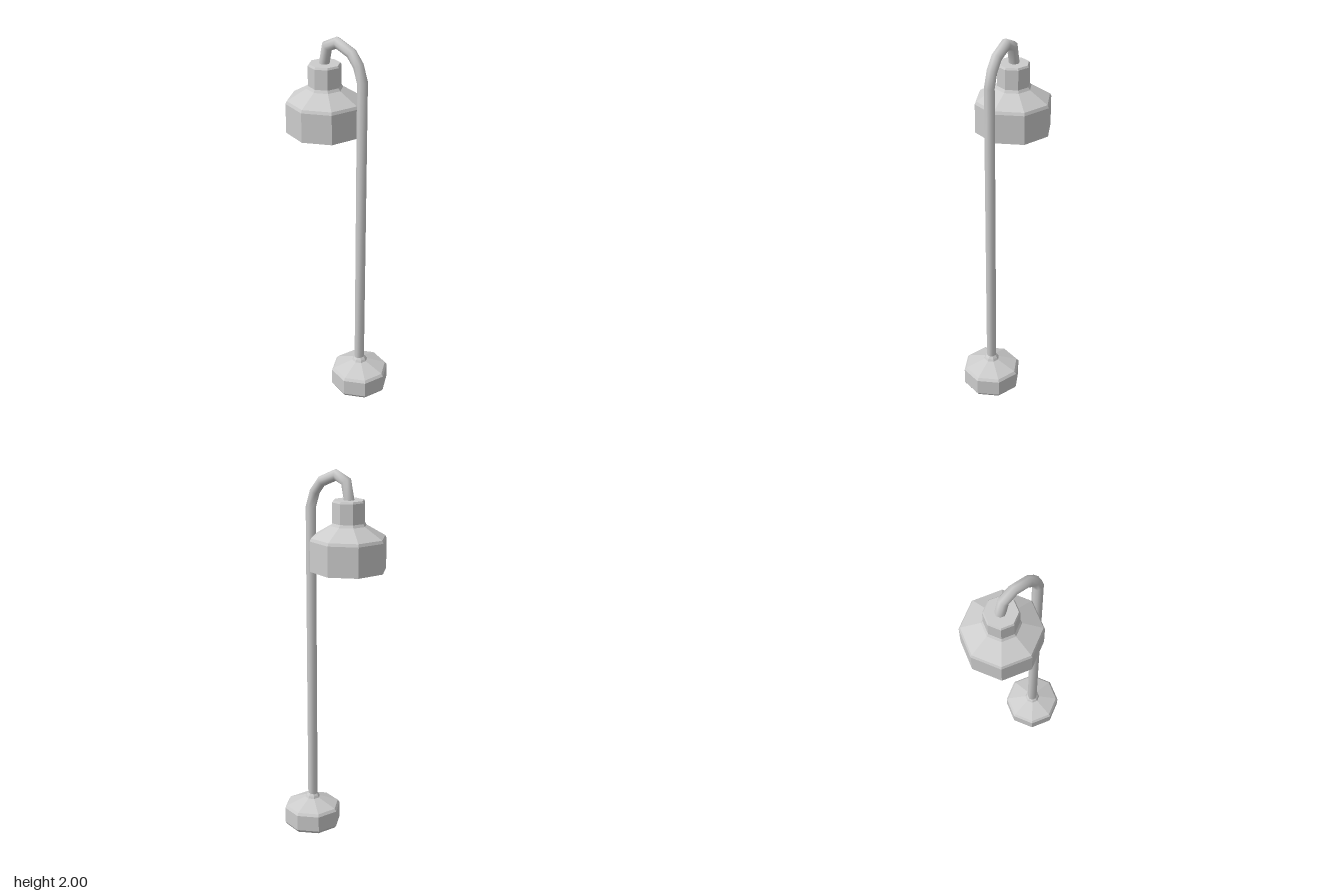
import * as THREE from 'three';
import { mergeVertices } from 'three/addons/utils/BufferGeometryUtils.js';

const SIDES = 8;

// Faceted octagonal body turned from [radius, y] pairs, bottom to top
function turned(name, profile, x, z, side = THREE.FrontSide) {
  const geometry = new THREE.LatheGeometry(profile.map(([r, y]) => new THREE.Vector2(r, y)), SIDES);
  const material = new THREE.MeshStandardMaterial({ color: 0xcccccc, flatShading: true, side });
  const mesh = new THREE.Mesh(geometry, material);
  mesh.name = name;
  mesh.position.set(x, 0, z);
  return mesh;
}

// Smooth pipe along a bent path: a cylinder whose rings are moved to mitred joints
function bentPipe(name, path, radius) {
  const last = path.length - 1;
  const pts = path.map((p) => new THREE.Vector3(...p));
  let geometry = new THREE.CylinderGeometry(radius, radius, last, SIDES, last, true);
  geometry.deleteAttribute('uv');
  geometry.deleteAttribute('normal');
  geometry = mergeVertices(geometry);
  const frames = pts.map((p, i) => {
    const a = pts[Math.min(i + 1, last)].clone().sub(pts[Math.min(i, last - 1)]).normalize();
    const b = pts[Math.max(i, 1)].clone().sub(pts[Math.max(i - 1, 0)]).normalize();
    const d = a.clone().add(b).normalize();
    return { across: new THREE.Vector3(d.y, -d.x, 0).normalize(), mitre: 1 / d.dot(a) };
  });
  const pos = geometry.attributes.position;
  for (let v = 0; v < pos.count; v++) {
    const i = Math.round(pos.getY(v) + last / 2);
    const { across, mitre } = frames[i];
    const p = pts[i].clone().addScaledVector(across, pos.getX(v) * mitre);
    pos.setXYZ(v, p.x, p.y, p.z + pos.getZ(v));
  }
  geometry.computeVertexNormals();
  const mesh = new THREE.Mesh(geometry, new THREE.MeshStandardMaterial({ color: 0xcccccc }));
  mesh.name = name;
  return mesh;
}

export function createModel() {
  const lamp = new THREE.Group();
  lamp.name = 'streetLamp';

  // Weighted foot with bevelled rims and a small collar round the pole
  lamp.add(turned('base', [
    [0, 0], [0.148, 0], [0.158, 0.015], [0.158, 0.103], [0.147, 0.117],
    [0.042, 0.16], [0.036, 0.172], [0.025, 0.185],
  ], 0.135, 0.004));

  // Straight pole that bends over into the hook
  lamp.add(bentPipe('pole', [
    [0.133, 0.14, 0.005], [0.133, 1.8, 0.005], [0.108, 1.88, 0.004], [0.066, 1.935, 0.003],
    [-0.02, 1.973, 0.001], [-0.08, 1.944, -0.001], [-0.102, 1.835, -0.002],
  ], 0.027));

  // Hollow shade, open below, with a narrow neck
  lamp.add(turned('shade', [
    [0.2, 1.5], [0.2, 1.655], [0.193, 1.67], [0.094, 1.728], [0.085, 1.742],
    [0.085, 1.845], [0.079, 1.855], [0, 1.855],
  ], -0.095, 0, THREE.DoubleSide));

  return lamp;
}
